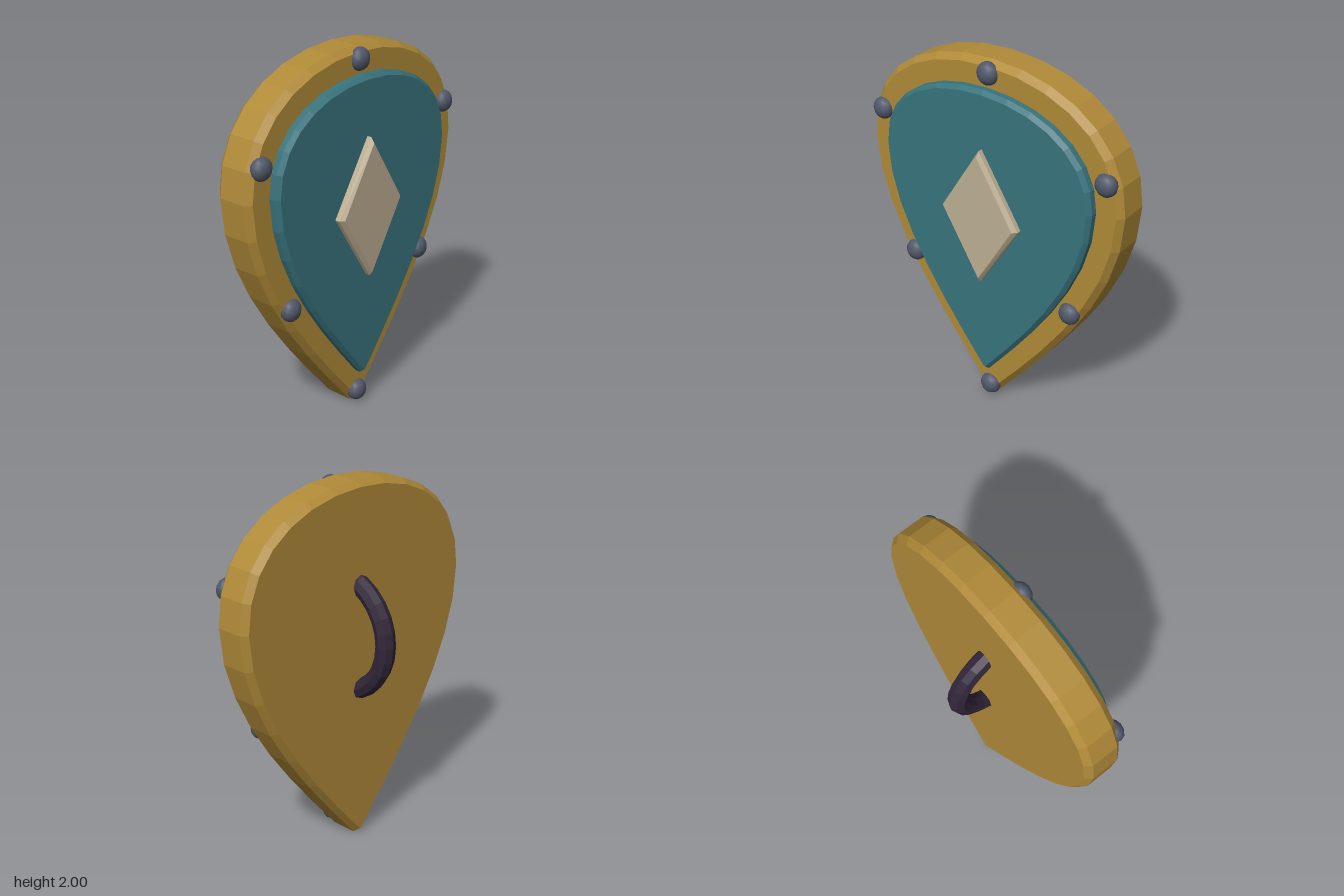
import * as THREE from 'three';

const mat = (name, color) => {
  const m = new THREE.MeshStandardMaterial({ color });
  m.name = name;
  return m;
};

// Teardrop outline: half width, top, height of widest point, bottom tip
function teardrop(w, top, mid, bot) {
  const up = top - mid, down = mid - bot, tip = 0.005;
  const s = new THREE.Shape();
  s.moveTo(tip, bot);
  s.bezierCurveTo(0.53 * w, bot + 0.342 * down, w, mid - 0.324 * down, w, mid);
  s.bezierCurveTo(w, mid + 0.66 * up, 0.556 * w, top, 0, top);
  s.bezierCurveTo(-0.556 * w, top, -w, mid + 0.66 * up, -w, mid);
  s.bezierCurveTo(-w, mid - 0.324 * down, -0.53 * w, bot + 0.342 * down, -tip, bot);
  s.closePath();
  return s;
}

// Bevelled plate between two depths
function plate(shape, back, front, bevelThickness, bevelSize) {
  const g = new THREE.ExtrudeGeometry(shape, {
    depth: front - back - 2 * bevelThickness,
    bevelEnabled: true, bevelSegments: 1, bevelThickness, bevelSize,
    curveSegments: 7,
  });
  return g.translate(0, 0, back + bevelThickness);
}

export function createModel() {
  const gold = mat('gold', 0xb08a38);
  const teal = mat('teal', 0x38737d);
  const bone = mat('bone', 0xbcae92);
  const steel = mat('steel', 0x50586a);
  const leather = mat('dark leather', 0x32263a);

  const model = new THREE.Group();
  model.name = 'shield';
  const add = (name, geometry, material) => {
    const mesh = new THREE.Mesh(geometry, material);
    mesh.name = name;
    model.add(mesh);
    return mesh;
  };

  // Body and raised front panel
  add('body', plate(teardrop(0.756, 1.97, 1.39, 0.035), -0.045, 0.175, 0.035, 0.03), gold);
  add('frontPanel', plate(teardrop(0.625, 1.84, 1.39, 0.22), 0.11, 0.23, 0.022, 0.02), teal);

  // Diamond boss
  const diamond = new THREE.Shape([[0, -0.352], [0.217, 0], [0, 0.352], [-0.217, 0]]
    .map(([x, y]) => new THREE.Vector2(x, y + 1.17)));
  add('diamondBoss', plate(diamond, 0.18, 0.275, 0.02, 0.02), bone);

  // Rivets around the rim
  const rivet = new THREE.SphereGeometry(0.06, 12, 8).scale(1, 1, 0.78);
  [[0, 1.935], [0.695, 1.557], [-0.695, 1.557], [0.51, 0.755], [-0.51, 0.755], [0, 0.075]]
    .forEach(([x, y], i) => add(`rivet${i + 1}`, rivet, steel).position.set(x, y, 0.175));

  // Curved grip at the back, its ends sunk into the body
  const grip = new THREE.TorusGeometry(0.321, 0.053, 8, 14, Math.PI)
    .rotateZ(Math.PI / 2).rotateY(-Math.PI / 2).toNonIndexed();
  grip.computeVertexNormals();
  add('grip', grip, leather).position.set(0, 1.17, 0.099);

  return model;
}
